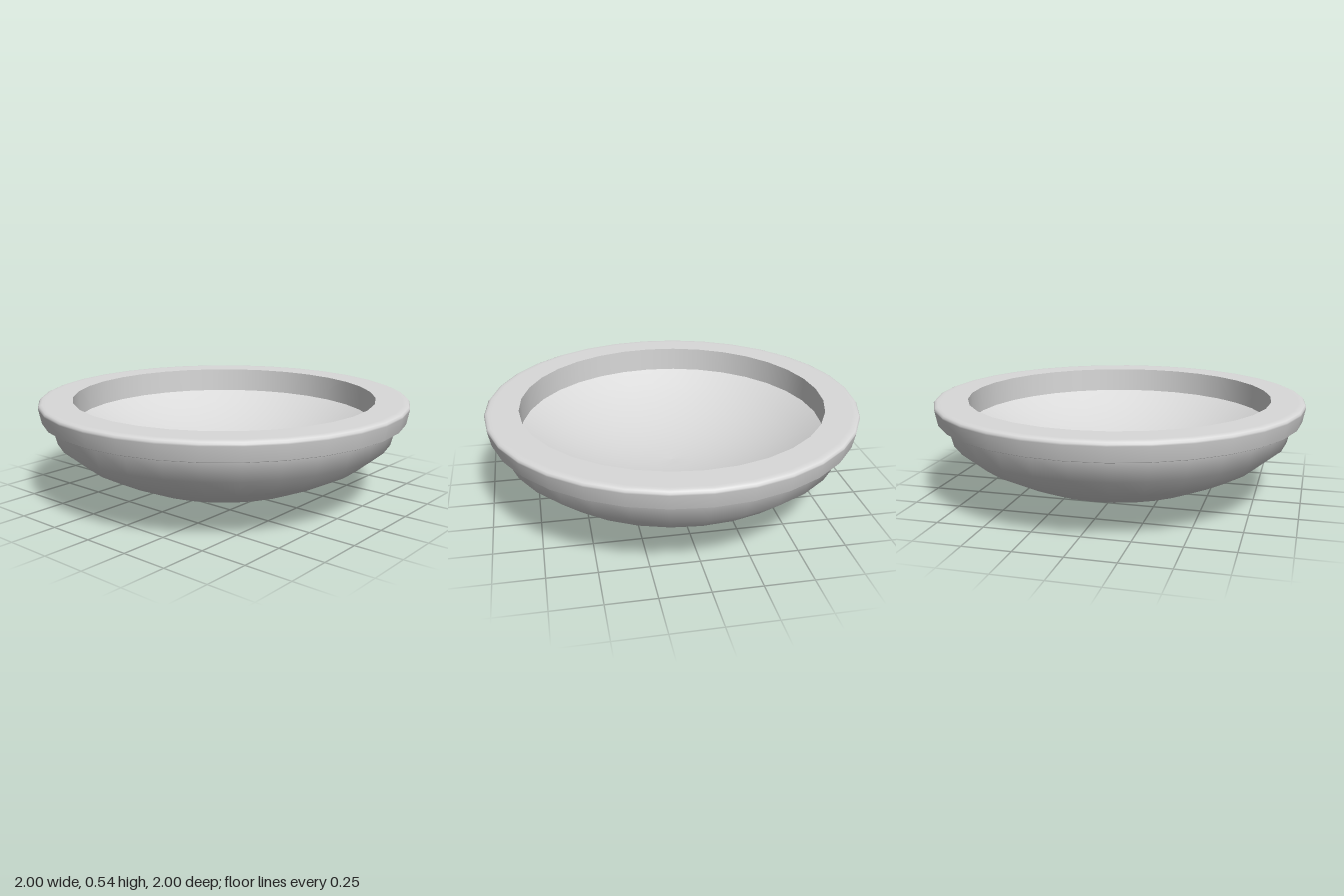
import * as THREE from 'three';

const SEGMENTS = 32;

export function createModel() {
  const group = new THREE.Group();
  group.name = 'shallowDish';
  const grey = new THREE.MeshStandardMaterial({ color: 0xd9d9d9 });
  grey.name = 'light grey';

  // Each smooth band is its own lathe, so the edges between bands stay sharp.
  const band = (name, profile) => {
    const points = profile.map(([r, y]) => new THREE.Vector2(r, y));
    const mesh = new THREE.Mesh(new THREE.LatheGeometry(points, SEGMENTS), grey);
    mesh.name = name;
    group.add(mesh);
  };

  // Rounded underside
  band('outerBowl', [
    [0, 0], [0.14, 0.002], [0.28, 0.027], [0.41, 0.062], [0.53, 0.102],
    [0.66, 0.16], [0.78, 0.222], [0.91, 0.33], [0.937, 0.44],
  ]);

  // Overhanging lip: underside, then flared side with a rounded top edge
  band('rimUnderside', [[0.937, 0.44], [0.975, 0.44]]);
  band('rim', [
    [0.975, 0.44], [0.984, 0.445], [0.999, 0.52], [1, 0.529], [0.993, 0.538],
    [0.98, 0.543], [0.96, 0.543], [0.82, 0.543],
  ]);

  // Upright inner wall
  band('innerWall', [[0.82, 0.543], [0.82, 0.407]]);

  // Dished floor: a spherical cap
  const radius = 0.82, top = 0.407, depth = 0.23, steps = 8;
  const sphere = (radius ** 2 + depth ** 2) / (2 * depth);
  const edgeAngle = Math.asin(radius / sphere);
  const floor = [];
  for (let i = 0; i <= steps; i++) {
    const a = edgeAngle * (1 - i / steps);
    floor.push([sphere * Math.sin(a), top - depth + sphere * (1 - Math.cos(a))]);
  }
  band('innerFloor', floor);

  return group;
}
